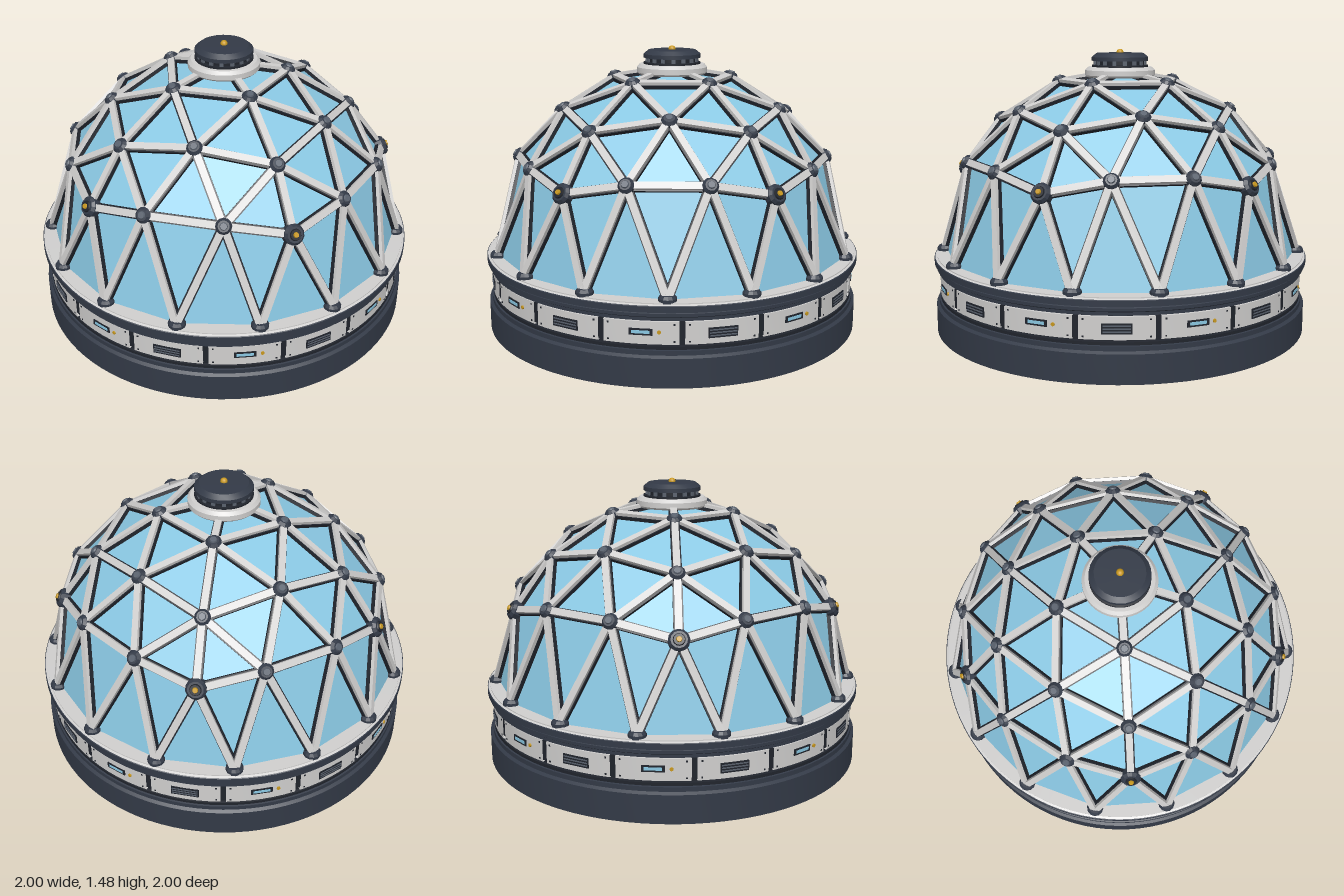
import * as THREE from 'three';
import { toCreasedNormals } from 'three/addons/utils/BufferGeometryUtils.js';

const mat = (name, color, side = THREE.FrontSide) => {
  const m = new THREE.MeshStandardMaterial({ color, side });
  m.name = name;
  return m;
};

export function createModel() {
  const M = {
    light: mat('light frame', 0xd0cfce, THREE.DoubleSide),
    navy: mat('dark navy', 0x333a47),
    black: mat('near black', 0x20242c),
    slate: mat('slate', 0x59616d),
    floor: mat('floor grey', 0x55555b),
    glass: mat('blue glass', 0x8ac8e3, THREE.DoubleSide),
    gold: mat('gold', 0xc8981f),
  };
  const root = new THREE.Group();
  root.name = 'geodesicDome';

  const add = (parent, name, geo, material, x = 0, y = 0, z = 0) => {
    const m = new THREE.Mesh(geo, material);
    m.name = name;
    m.position.set(x, y, z);
    parent.add(m);
    return m;
  };
  const lathe = (pts, seg = 96, start = 0, len = Math.PI * 2) => toCreasedNormals(
    new THREE.LatheGeometry(pts.map(p => new THREE.Vector2(p[0], p[1])), seg, start, len), 0.4);
  const box = (w, h, d) => new THREE.BoxGeometry(w, h, d);
  const group = (name, parent = root) => {
    const g = new THREE.Group();
    g.name = name;
    parent.add(g);
    return g;
  };

  // ---- Base: hollow plinth, recessed wall, collar ----
  add(root, 'plinth', lathe([[0.893, 0.158], [0.893, 0], [0.995, 0], [0.995, 0.145], [0.98, 0.155],
    [0.98, 0.178], [0.955, 0.184]]), M.navy);
  add(root, 'recessedWall', lathe([[0.972, 0.18], [0.972, 0.195], [0.957, 0.198], [0.957, 0.325]]), M.black);
  const floor = add(root, 'floor', new THREE.CircleGeometry(0.9, 96), M.floor, 0, 0.158, 0);
  floor.rotation.x = Math.PI / 2;
  add(root, 'collar', lathe([[0.95, 0.322], [0.978, 0.322], [0.978, 0.338], [0.99, 0.345], [0.99, 0.36],
    [0.983, 0.364], [1, 0.368], [1, 0.397], [0.996, 0.4]]), M.navy);
  add(root, 'collarTop', lathe([[0.998, 0.398], [0.985, 0.404], [0.985, 0.409], [0.85, 0.411]]), M.light);

  // ---- Sixteen wall panels, alternating vents and lit slits ----
  const step = Math.PI / 8, panelArc = step * 0.93;
  const panelGeo = lathe([[0.955, 0.205], [0.972, 0.205], [0.972, 0.315], [0.955, 0.315]], 6, -panelArc / 2, panelArc);
  const ventGeo = box(0.14, 0.05, 0.008), slatGeo = box(0.13, 0.006, 0.004);
  const slitGeo = box(0.11, 0.032, 0.008), lampGeo = box(0.085, 0.015, 0.004);
  const screwGeo = box(0.008, 0.008, 0.006);
  const knobGeo = new THREE.CylinderGeometry(0.009, 0.009, 0.01, 12).rotateX(Math.PI / 2);
  for (let k = 0; k < 16; k++) {
    const g = group('wallPanel');
    g.rotation.y = (k + 0.5) * step;
    add(g, 'panelPlate', panelGeo, M.light);
    if (k % 2 === 0) {
      add(g, 'vent', ventGeo, M.black, 0, 0.258, 0.971);
      for (let i = -1; i <= 1; i++) add(g, 'ventSlat', slatGeo, M.slate, 0, 0.258 + i * 0.014, 0.975);
    } else {
      add(g, 'slitFrame', slitGeo, M.black, 0, 0.265, 0.971);
      add(g, 'slitLight', lampGeo, M.glass, 0, 0.265, 0.975);
      add(g, 'indicator', knobGeo, M.gold, 0.085, 0.265, 0.969);
    }
    for (const a of [-0.16, 0.16]) for (const y of [0.219, 0.301]) {
      const s = add(g, 'screw', screwGeo, M.black, Math.sin(a) * 0.971, y, Math.cos(a) * 0.971);
      s.rotation.y = a;
    }
  }

  // ---- Geodesic nodes: three-way split of an icosahedron ----
  const R = 0.945, CY = 0.415, deg = Math.PI / 180;
  const dome = group('dome');
  dome.position.y = CY;
  const ico = (a, y) => new THREE.Vector3(Math.sin(a * deg) * 0.8944, y, Math.cos(a * deg) * 0.8944);
  const apex = new THREE.Vector3(0, 1, 0);
  const nodes = new Map(), edges = new Map(), tris = [];
  const node = (A, B, C, i, j, k) => {
    const p = new THREE.Vector3().addScaledVector(A, i).addScaledVector(B, j).addScaledVector(C, k);
    p.normalize();
    const base = p.y < 0.25;
    if (base) { p.y = 0; p.normalize(); }
    p.multiplyScalar(R);
    const key = p.toArray().map(v => Math.round(v * 1000) + 0).join();
    if (!nodes.has(key)) nodes.set(key, { key, p, base, major: Math.max(i, j, k) === 3 });
    return nodes.get(key);
  };
  const addTri = (...t) => {
    tris.push(t);
    t.forEach((a, i) => {
      const b = t[(i + 1) % 3];
      if (!(a.base && b.base)) edges.set([a.key, b.key].sort().join('|'), [a, b]);
    });
  };
  // Rows start at corner A and run down toward edge BC
  const split = (A, B, C, firstRow, lastRow) => {
    const at = (r, c) => node(A, B, C, 3 - r, r - c, c);
    for (let r = firstRow; r < lastRow; r++) for (let c = 0; c <= r; c++) {
      addTri(at(r, c), at(r + 1, c), at(r + 1, c + 1));
      if (c < r) addTri(at(r, c), at(r + 1, c + 1), at(r, c + 1));
    }
  };
  for (let k = 0; k < 5; k++) {
    const a = -22 + 72 * k;
    const B = ico(a, 0.4472), C = ico(a + 72, 0.4472);
    const D = ico(a + 36, -0.4472), E = ico(a - 36, -0.4472);
    split(apex, B, C, 0, 3);
    split(D, B, C, 2, 3);
    split(B, E, D, 0, 1);
  }

  // ---- Glass panes ----
  const pos = [];
  for (const t of tris) {
    const [a, b, c] = t.map(n => n.p.clone().multiplyScalar(0.992).setY(n.base ? -0.01 : n.p.y * 0.992));
    const normal = b.clone().sub(a).cross(c.clone().sub(a));
    for (const v of normal.dot(a) > 0 ? [a, b, c] : [a, c, b]) pos.push(v.x, v.y, v.z);
  }
  const glass = new THREE.BufferGeometry();
  glass.setAttribute('position', new THREE.Float32BufferAttribute(pos, 3));
  glass.computeVertexNormals();
  add(dome, 'glassPanes', glass, M.glass);

  // ---- Struts: light beam on a dark gasket ----
  for (const [a, b] of edges.values()) {
    const g = group('strut', dome);
    const dir = b.p.clone().sub(a.p), len = dir.length();
    dir.normalize();
    g.position.copy(a.p).add(b.p).multiplyScalar(0.5);
    const side = g.position.clone().cross(dir).normalize();
    const up = dir.clone().cross(side);
    g.quaternion.setFromRotationMatrix(new THREE.Matrix4().makeBasis(side, up, dir));
    add(g, 'gasket', box(0.048, 0.018, len), M.black, 0, -0.002, 0);
    add(g, 'beam', box(0.034, 0.024, len), M.light, 0, 0.012, 0);
  }

  // ---- Hubs ----
  const hubGeo = lathe([[0, -0.015], [0.04, -0.015], [0.04, 0.018], [0.028, 0.032], [0, 0.032]], 12);
  const majorGeo = lathe([[0, -0.015], [0.052, -0.015], [0.052, 0.02], [0.04, 0.034], [0, 0.034]], 12);
  const footGeo = lathe([[0, -0.01], [0.044, -0.01], [0.044, 0.008], [0.034, 0.022], [0, 0.022]], 12);
  const capGeo = new THREE.CylinderGeometry(0.016, 0.02, 0.008, 12);
  const ringGeo = new THREE.CylinderGeometry(0.026, 0.03, 0.008, 12);
  const studGeo = new THREE.CylinderGeometry(0.012, 0.016, 0.012, 8);
  for (const n of nodes.values()) {
    if (n.p.y > R * 0.99) continue;
    const g = group('hub', dome);
    g.position.copy(n.p);
    if (n.base) { add(g, 'footHub', footGeo, M.navy); continue; }
    g.quaternion.setFromUnitVectors(apex, n.p.clone().normalize());
    add(g, 'hubBody', n.major ? majorGeo : hubGeo, M.navy);
    if (n.major) {
      add(g, 'hubRing', ringGeo, M.black, 0, 0.037, 0);
      add(g, 'hubStud', studGeo, M.gold, 0, 0.043, 0);
    } else add(g, 'hubCap', capGeo, M.slate, 0, 0.035, 0);
  }

  // ---- Crown on top ----
  const crown = group('crown');
  add(crown, 'crownRing', lathe([[0.1, 1.335], [0.175, 1.335], [0.185, 1.345], [0.185, 1.372],
    [0.17, 1.388], [0.1, 1.39]], 48), M.light);
  add(crown, 'crownNeck', lathe([[0.15, 1.387], [0.15, 1.397], [0.132, 1.4], [0.132, 1.425]], 48), M.black);
  add(crown, 'crownCap', lathe([[0.1, 1.418], [0.15, 1.42], [0.15, 1.44], [0.125, 1.46], [0, 1.462]], 24), M.navy);
  for (let k = 0; k < 16; k++) {
    const a = k * step;
    const f = add(crown, 'neckFin', box(0.02, 0.024, 0.016), M.slate, Math.sin(a) * 0.132, 1.408, Math.cos(a) * 0.132);
    f.rotation.y = a;
  }
  add(crown, 'crownBeacon', new THREE.SphereGeometry(0.019, 12, 8), M.gold, 0, 1.463, 0);

  return root;
}
